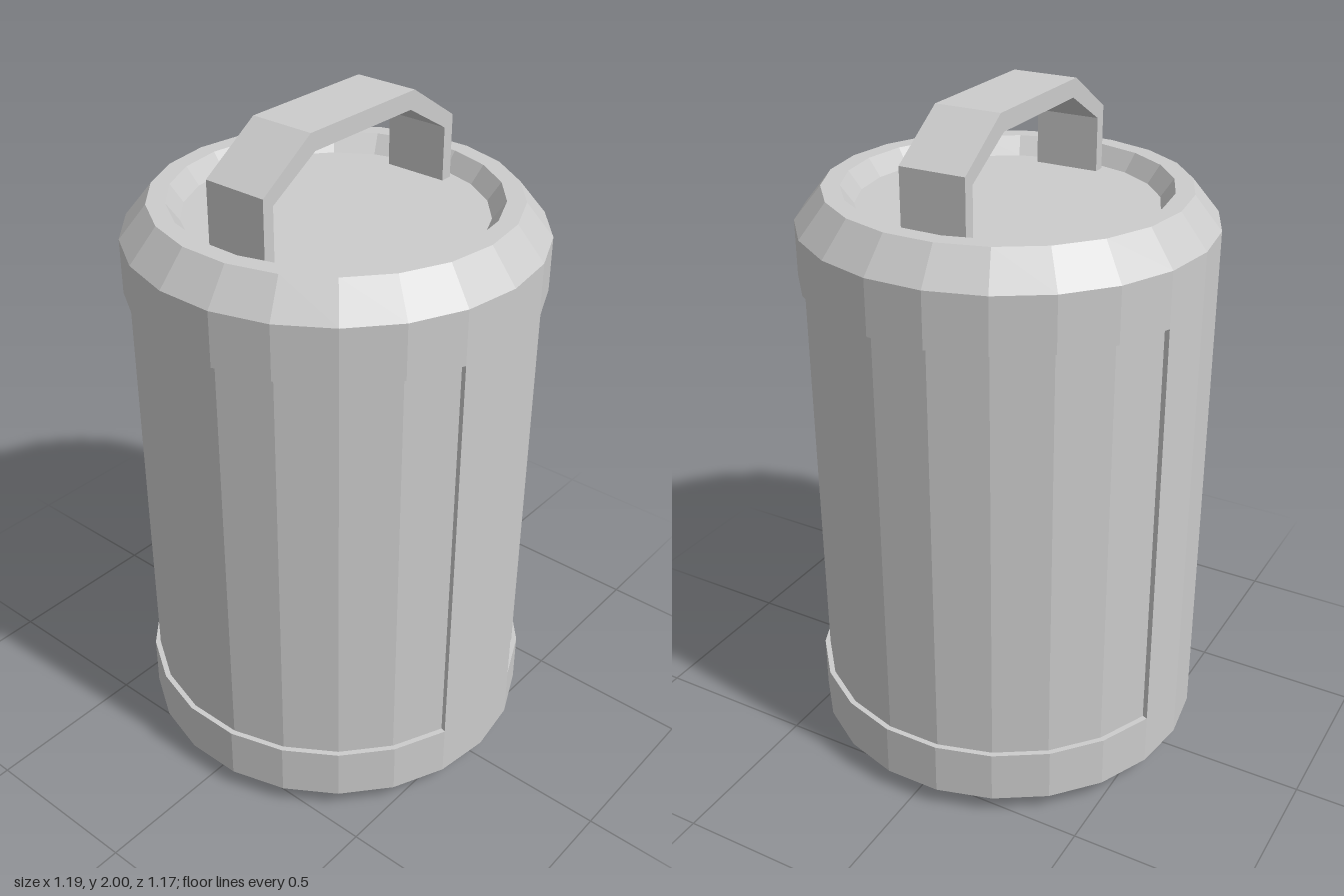
import * as THREE from 'three';

const SIDES = 22;
const STEP = (Math.PI * 2) / SIDES;
const R = 0.593;        // bands and side strips
const R_PANEL = 0.577;  // recessed front and back panels
const LOW = 0.22, HIGH = 1.49; // recess limits
const FLOOR = 1.695;    // sunken lid

const material = new THREE.MeshStandardMaterial({ color: 0xcccccc, flatShading: true });

function addMesh(group, name, geometry) {
  const mesh = new THREE.Mesh(geometry, material);
  mesh.name = name;
  group.add(mesh);
  return mesh;
}

const toPoints = (list) => list.map(([x, y]) => new THREE.Vector2(x, y));

export function createModel() {
  const group = new THREE.Group();
  group.name = 'canister';

  // Body: chamfered base, two raised bands, recessed wall, rim and sunken lid
  const profile = toPoints([
    [0, 0], [0.515, 0], [R, 0.06], [R, LOW], [R_PANEL, LOW],
    [R_PANEL, HIGH], [R, HIGH], [R, 1.65], [0.515, 1.747],
    [0.462, 1.747], [0.425, FLOOR], [0, FLOOR],
  ]);
  addMesh(group, 'body', new THREE.LatheGeometry(profile, SIDES, Math.PI / 2));

  // Raised strips joining the bands on the left and right sides
  const ring = (r, angles) => angles.map((a) => [r * Math.cos(a), r * Math.sin(a)]);
  const section = [...ring(R, [-STEP, 0, STEP]), ...ring(R_PANEL - 0.02, [STEP, 0, -STEP])];
  for (const [name, turn] of [['leftStrip', 0], ['rightStrip', Math.PI]]) {
    const strip = new THREE.ExtrudeGeometry(new THREE.Shape(toPoints(section)), {
      depth: HIGH - LOW, bevelEnabled: false,
    });
    strip.rotateX(-Math.PI / 2).translate(0, LOW, 0).rotateY(turn);
    addMesh(group, name, strip);
  }

  // Carrying handle: angular arch running front to back
  const outer = [[0.392, FLOOR], [0.392, 1.882], [0.212, 2]];
  const inner = [[0.196, 1.948], [0.356, 1.853], [0.356, FLOOR]];
  const mirror = (list) => list.map(([z, y]) => [-z, y]).reverse();
  const arch = new THREE.Shape(toPoints([...outer, ...mirror(outer), ...mirror(inner), ...inner]));
  const handle = new THREE.ExtrudeGeometry(arch, { depth: 0.195, bevelEnabled: false });
  handle.translate(0, 0, -0.0975).rotateY(Math.PI / 2);
  addMesh(group, 'handle', handle);

  return group;
}
